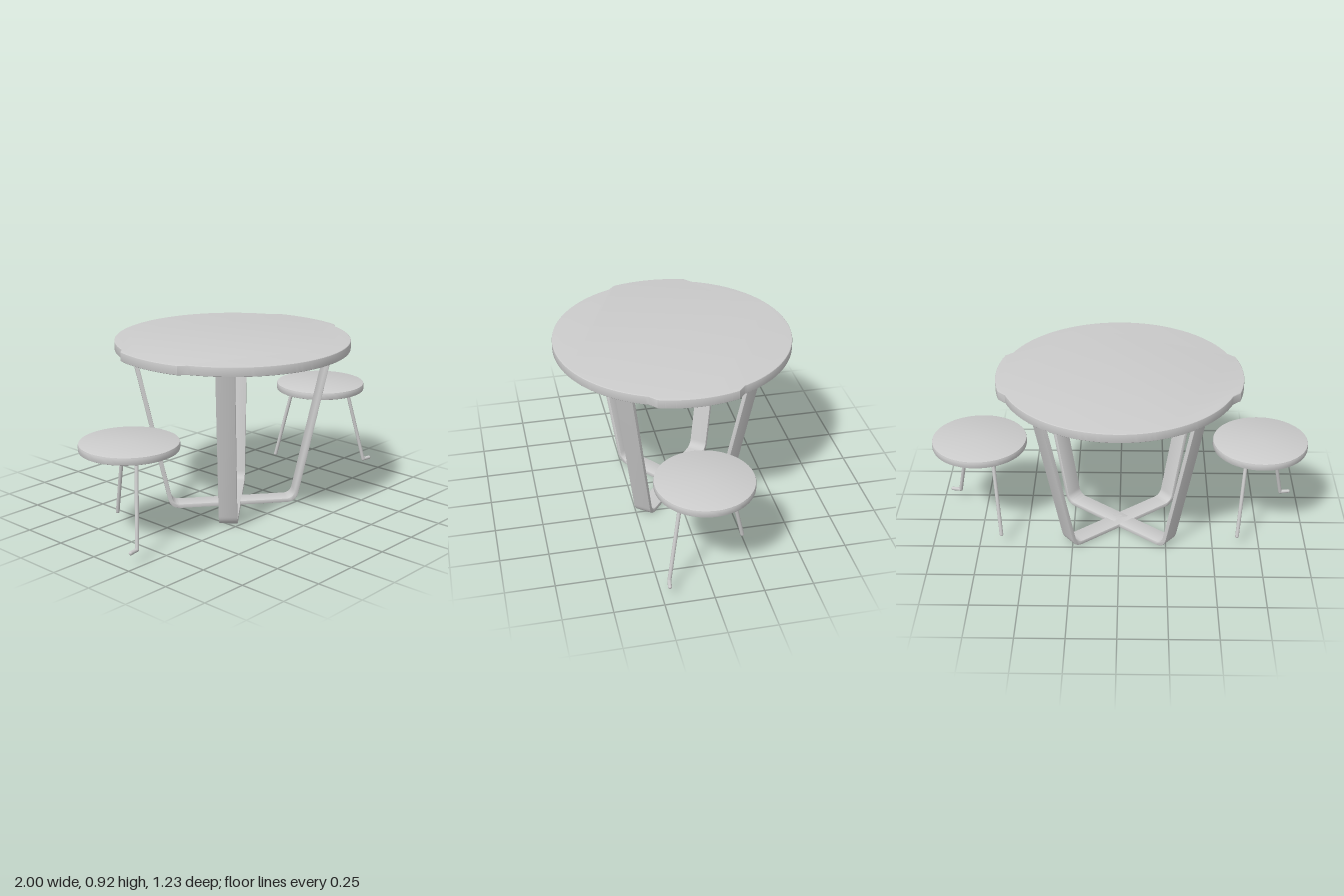
import * as THREE from 'three';
import { toCreasedNormals } from 'three/addons/utils/BufferGeometryUtils.js';

const material = new THREE.MeshStandardMaterial({ color: 0xcccccc, side: THREE.DoubleSide });

function part(name, geometry) {
  const mesh = new THREE.Mesh(geometry, material);
  mesh.name = name;
  return mesh;
}

// Round slab whose two ends swell slightly beyond the circle
function createTableTop() {
  const R = 0.617, a = Math.asin(0.235 / R);
  const endR = 0.68, endX = 0.04, b = Math.asin(0.2 / endR);
  const shape = new THREE.Shape();
  shape.absarc(-endX, 0, endR, -b, b, false);
  shape.absarc(0, 0, R, a, Math.PI - a, false);
  shape.absarc(endX, 0, endR, Math.PI - b, Math.PI + b, false);
  shape.absarc(0, 0, R, Math.PI + a, 2 * Math.PI - a, false);
  shape.closePath();
  const bevel = 0.005;
  const geometry = new THREE.ExtrudeGeometry(shape, {
    depth: 0.05 - 2 * bevel, curveSegments: 48,
    bevelSize: bevel, bevelThickness: bevel, bevelOffset: -bevel, bevelSegments: 3,
  });
  geometry.rotateX(-Math.PI / 2).translate(0, 0.873 + bevel, 0);
  return part('tableTop', toCreasedNormals(geometry, 0.5));
}

// U-shaped strap: a flat band bent up into two splayed legs
function createStrap(name, angle) {
  const width = 0.096, thick = 0.022, topY = 0.876, foot = 0.345, slope = 0.22;
  const outer = y => foot + slope * y;
  const inner = y => outer(y) - 0.023;
  const s = new THREE.Shape();
  s.moveTo(-foot + 0.055, 0);
  s.lineTo(foot - 0.055, 0);
  s.quadraticCurveTo(foot, 0, outer(0.055), 0.055);
  s.lineTo(outer(topY), topY);
  s.lineTo(inner(topY), topY);
  s.lineTo(inner(0.062), 0.062);
  s.quadraticCurveTo(inner(thick), thick, inner(thick) - 0.04, thick);
  s.lineTo(-inner(thick) + 0.04, thick);
  s.quadraticCurveTo(-inner(thick), thick, -inner(0.062), 0.062);
  s.lineTo(-inner(topY), topY);
  s.lineTo(-outer(topY), topY);
  s.lineTo(-outer(0.055), 0.055);
  s.quadraticCurveTo(-foot, 0, -foot + 0.055, 0);
  const bevel = 0.003;
  const geometry = new THREE.ExtrudeGeometry(s, {
    depth: width - 2 * bevel, curveSegments: 10,
    bevelSize: bevel, bevelThickness: bevel, bevelOffset: -bevel, bevelSegments: 2,
  });
  geometry.translate(0, 0, -width / 2 + bevel).rotateY(angle);
  return part(name, toCreasedNormals(geometry, 0.5));
}

// Round rod along straight segments, with rounded ends
function createRod(name, points, radius) {
  const group = new THREE.Group();
  group.name = name;
  const v = points.map(p => new THREE.Vector3(...p));
  for (let i = 0; i < v.length - 1; i++) {
    const tube = new THREE.TubeGeometry(new THREE.LineCurve3(v[i], v[i + 1]), 1, radius, 12);
    group.add(part(name + 'Rod', tube));
  }
  v.slice(1).forEach(p => {
    group.add(part(name + 'Joint', new THREE.SphereGeometry(radius, 12, 8).translate(p.x, p.y, p.z)));
  });
  return group;
}

// Stool with a shallow domed underside and two rod legs; side is +1 or -1
function createStool(name, side) {
  const stool = new THREE.Group();
  stool.name = name;
  const profile = [
    [0, 0.472], [0.07, 0.474], [0.14, 0.48], [0.2, 0.487], [0.244, 0.49], [0.25, 0.493],
    [0.252, 0.499], [0.252, 0.523], [0.25, 0.529], [0.245, 0.531], [0, 0.531],
  ].map(p => new THREE.Vector2(...p));
  const seat = new THREE.LatheGeometry(profile, 64);
  seat.scale(1, 1, 0.985).translate(side * 0.748, 0, 0);
  stool.add(part('seat', toCreasedNormals(seat.toNonIndexed(), 0.6)));
  stool.add(createRod('outerLeg', [
    [side * 0.826, 0.486, 0.135], [side * 0.905, 0.067, 0.208], [side * 0.952, 0.067, 0.215],
  ], 0.01));
  stool.add(createRod('innerLeg', [
    [side * 0.666, 0.486, -0.135], [side * 0.631, 0.068, -0.232],
  ], 0.01));
  return stool;
}

export function createModel() {
  const model = new THREE.Group();
  model.name = 'tableWithStools';
  const table = new THREE.Group();
  table.name = 'table';
  table.add(createTableTop());
  // Two straps crossing under the centre
  const angle = 0.675;
  table.add(createStrap('firstStrapLeg', angle), createStrap('secondStrapLeg', -angle));
  model.add(table, createStool('leftStool', 1), createStool('rightStool', -1));
  return model;
}
